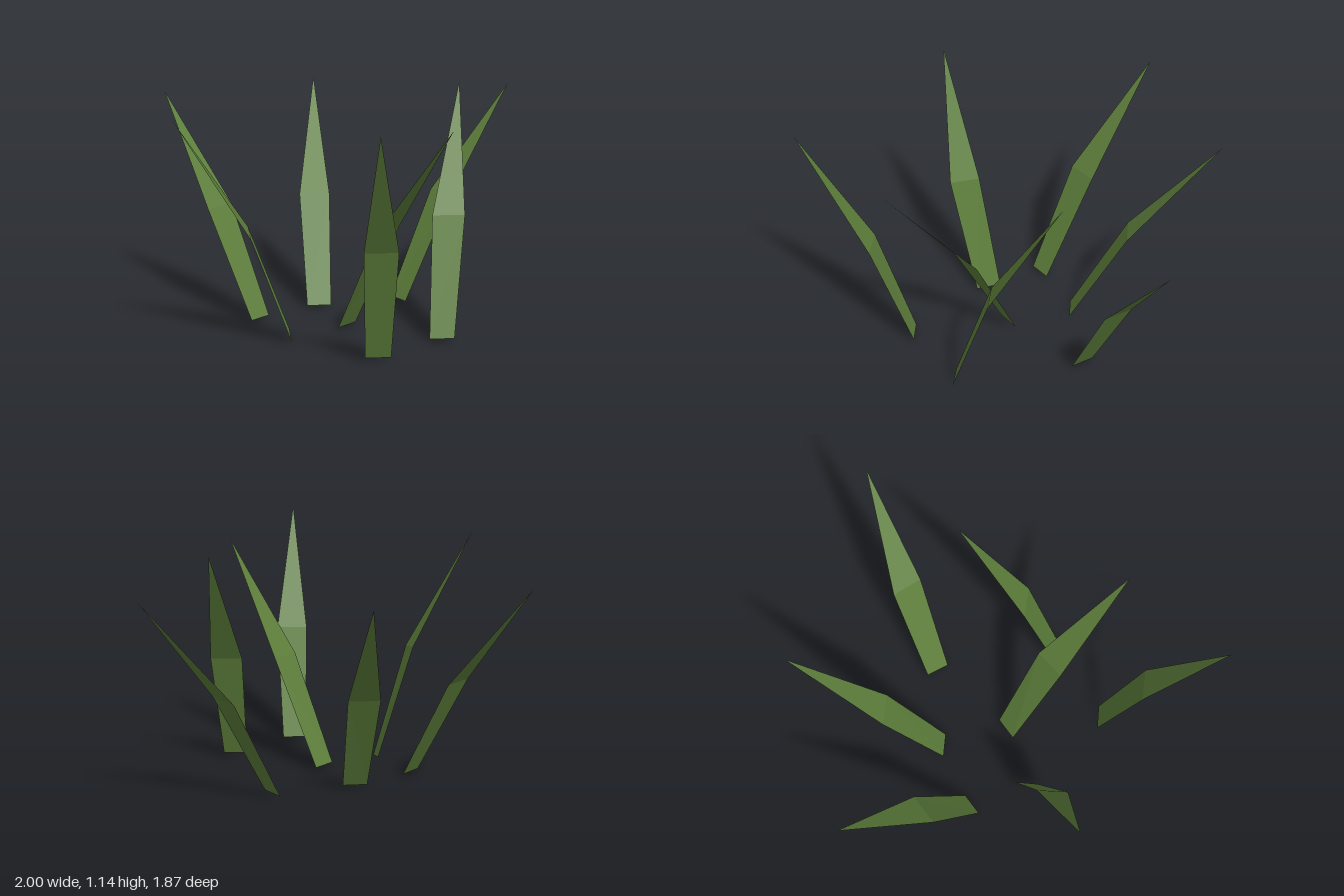
import * as THREE from 'three';

// Each blade: two base corners, two bend corners, one tip
const BLADES = {
  backLeftBlade: [[-0.47, 0.02, -0.24], [-0.36, 0.02, -0.26], [-0.54, 0.525, -0.505], [-0.39, 0.525, -0.535], [-0.52, 1.035, -0.935]],
  backRightBlade: [[-0.13, 0.02, -0.27], [-0.03, 0.02, -0.21], [-0.005, 0.515, -0.515], [0.12, 0.515, -0.435], [0.295, 1.035, -0.825]],
  rightBlade: [[0.295, 0.02, -0.155], [0.3, 0.02, -0.04], [0.57, 0.52, -0.19], [0.585, 0.53, -0.04], [0.995, 1.03, -0.105]],
  centreBlade: [[-0.195, 0.02, 0.085], [-0.08, 0.02, 0.065], [-0.16, 0.53, 0.345], [-0.01, 0.53, 0.305], [-0.04, 1.06, 0.73]],
  leftBlade: [[-0.46, 0.003, 0.09], [-0.405, 0.03, -0.015], [-0.685, 0.535, 0.115], [-0.62, 0.56, -0.015], [-1.0, 1.11, -0.02]],
  frontLeftBlade: [[-0.335, 0.02, 0.49], [-0.235, 0.02, 0.55], [-0.445, 0.56, 0.63], [-0.32, 0.56, 0.715], [-0.585, 1.14, 0.935]],
  frontRightBlade: [[0.055, 0.02, 0.46], [0.15, 0.02, 0.525], [0.175, 0.56, 0.32], [0.3, 0.56, 0.405], [0.485, 1.13, 0.125]],
};

// Flat leaf: a widening lower strip and a pointed upper triangle
function bladeGeometry(corners) {
  const geometry = new THREE.BufferGeometry();
  geometry.setAttribute('position', new THREE.Float32BufferAttribute(corners.flat(), 3));
  geometry.setIndex([0, 1, 3, 0, 3, 2, 2, 3, 4]);
  const flat = geometry.toNonIndexed();
  flat.computeVertexNormals();
  return flat;
}

export function createModel() {
  const group = new THREE.Group();
  group.name = 'grassTuft';
  const green = new THREE.MeshStandardMaterial({ color: 0x5c7d3a, side: THREE.DoubleSide, flatShading: true });
  for (const [name, corners] of Object.entries(BLADES)) {
    const blade = new THREE.Mesh(bladeGeometry(corners), green);
    blade.name = name;
    group.add(blade);
  }
  return group;
}
